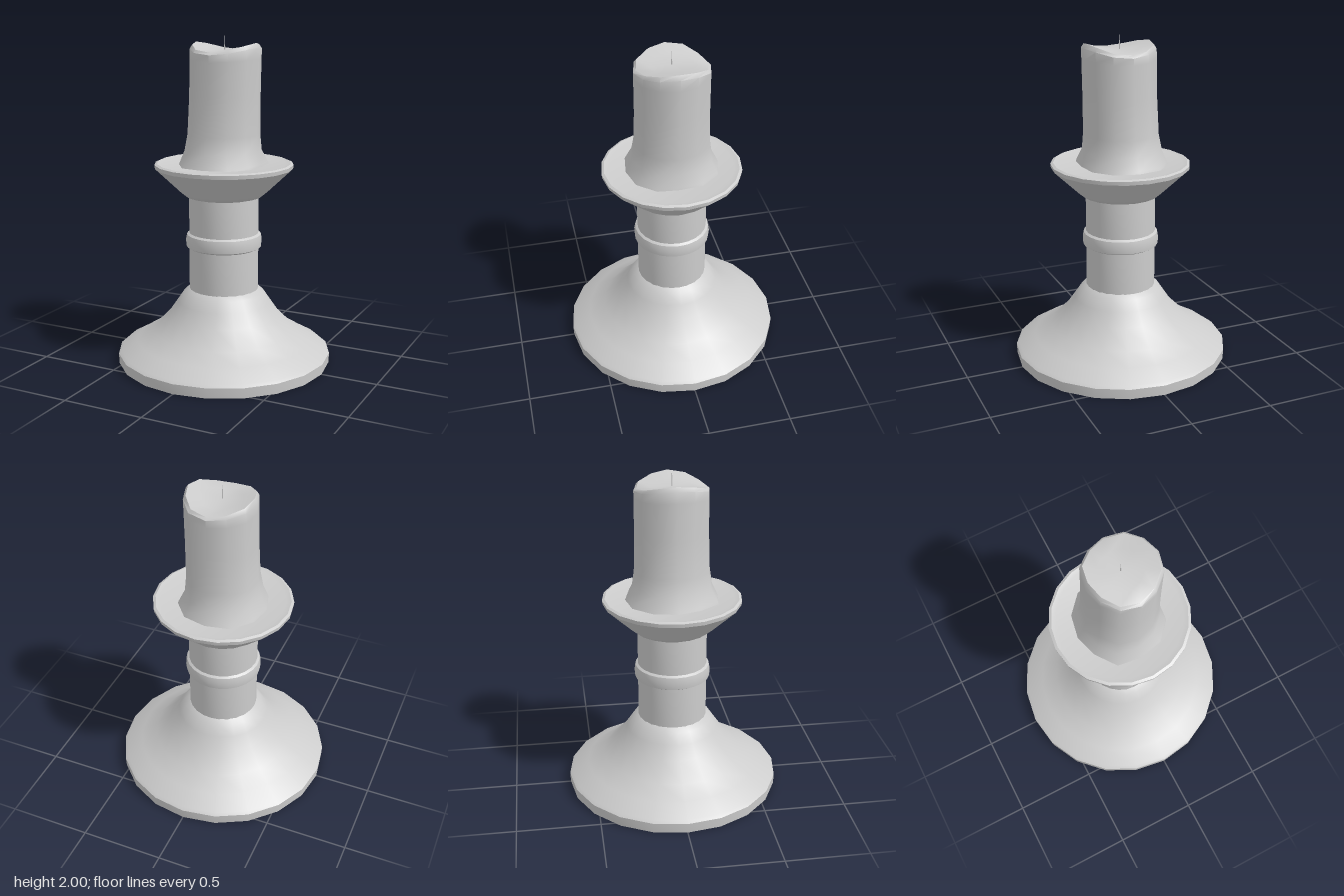
import * as THREE from 'three';
import { toCreasedNormals } from 'three/addons/utils/BufferGeometryUtils.js';

// Outline of the spread wax at the candle foot, every 30 degrees from +x towards +z
const FOOT = [0.25, 0.275, 0.285, 0.28, 0.3, 0.275, 0.28, 0.29, 0.3, 0.287, 0.29, 0.275];
// Slightly uneven outline of the candle shaft
const SHAFT = [0.218, 0.222, 0.215, 0.222, 0.227, 0.215, 0.215, 0.225, 0.218, 0.224, 0.228, 0.215];
const SIDES = FOOT.length;

function lathe(profile, segments) {
  const points = profile.map(([r, y]) => new THREE.Vector2(r, y));
  return toCreasedNormals(new THREE.LatheGeometry(points, segments), 0.6);
}

// Joins cross-section rings into a skin, closed at the top by a centre point
function candleGeometry() {
  // height, blend towards the foot outline, scale, x shift, saddle height
  const rings = [
    [1.225, 1, 1, 0, 0],
    [1.25, 0.85, 1, 0, 0],
    [1.32, 0.3, 1, -0.005, 0],
    [1.42, 0.06, 1, 0, 0],
    [1.65, 0, 0.99, 0.007, 0],
    [1.86, 0, 0.99, 0.011, 0.008],
    [1.915, 0, 0.99, 0.013, 0.02],
    [1.935, 0, 0.92, 0.012, 0.026],
    [1.925, 0, 0.55, 0.008, 0.012],
  ];
  const positions = [];
  const index = [];
  rings.forEach(([y, blend, scale, shift, saddle], k) => {
    for (let i = 0; i < SIDES; i++) {
      const a = (i / SIDES) * Math.PI * 2;
      const r = THREE.MathUtils.lerp(SHAFT[i], FOOT[i], blend) * scale;
      positions.push(shift + r * Math.cos(a), y + saddle * Math.cos(2 * a), r * Math.sin(a));
      if (k > 0) {
        const j = (i + 1) % SIDES;
        const lo = (k - 1) * SIDES;
        const hi = k * SIDES;
        index.push(lo + i, hi + i, lo + j, lo + j, hi + i, hi + j);
      }
    }
  });
  const centre = positions.length / 3;
  const last = centre - SIDES;
  positions.push(0.005, 1.918, 0);
  for (let i = 0; i < SIDES; i++) index.push(last + i, centre, last + ((i + 1) % SIDES));

  const geometry = new THREE.BufferGeometry();
  geometry.setAttribute('position', new THREE.Float32BufferAttribute(positions, 3));
  geometry.setIndex(index);
  return toCreasedNormals(geometry, 0.8);
}

export function createModel() {
  const group = new THREE.Group();
  const grey = new THREE.MeshStandardMaterial({ color: 0xcccccc });
  grey.name = 'plain grey';

  const add = (name, geometry) => {
    const mesh = new THREE.Mesh(geometry, grey);
    mesh.name = name;
    group.add(mesh);
    return mesh;
  };

  // Flared foot with a short upright rim
  add('base', lathe([
    [0, 0.003], [0.655, 0.003], [0.658, 0.065], [0.64, 0.08], [0.54, 0.137],
    [0.44, 0.2], [0.34, 0.3], [0.285, 0.38], [0.245, 0.44], [0.21, 0.465],
  ], 20));

  // Stem with a raised collar
  add('stem', lathe([
    [0.212, 0.455], [0.212, 0.72], [0.229, 0.73], [0.233, 0.77],
    [0.226, 0.805], [0.212, 0.815], [0.212, 1.05],
  ], 24));

  // Drip dish
  add('dish', lathe([
    [0.2, 1.035], [0.235, 1.045], [0.265, 1.07], [0.418, 1.215],
    [0.421, 1.238], [0.405, 1.245], [0.375, 1.237], [0, 1.232],
  ], 20));

  add('candle', candleGeometry());

  // Thin wick
  const wick = add('wick', new THREE.CylinderGeometry(0.001, 0.004, 0.09, 6));
  wick.position.set(0.005, 1.955, 0);

  return group;
}
